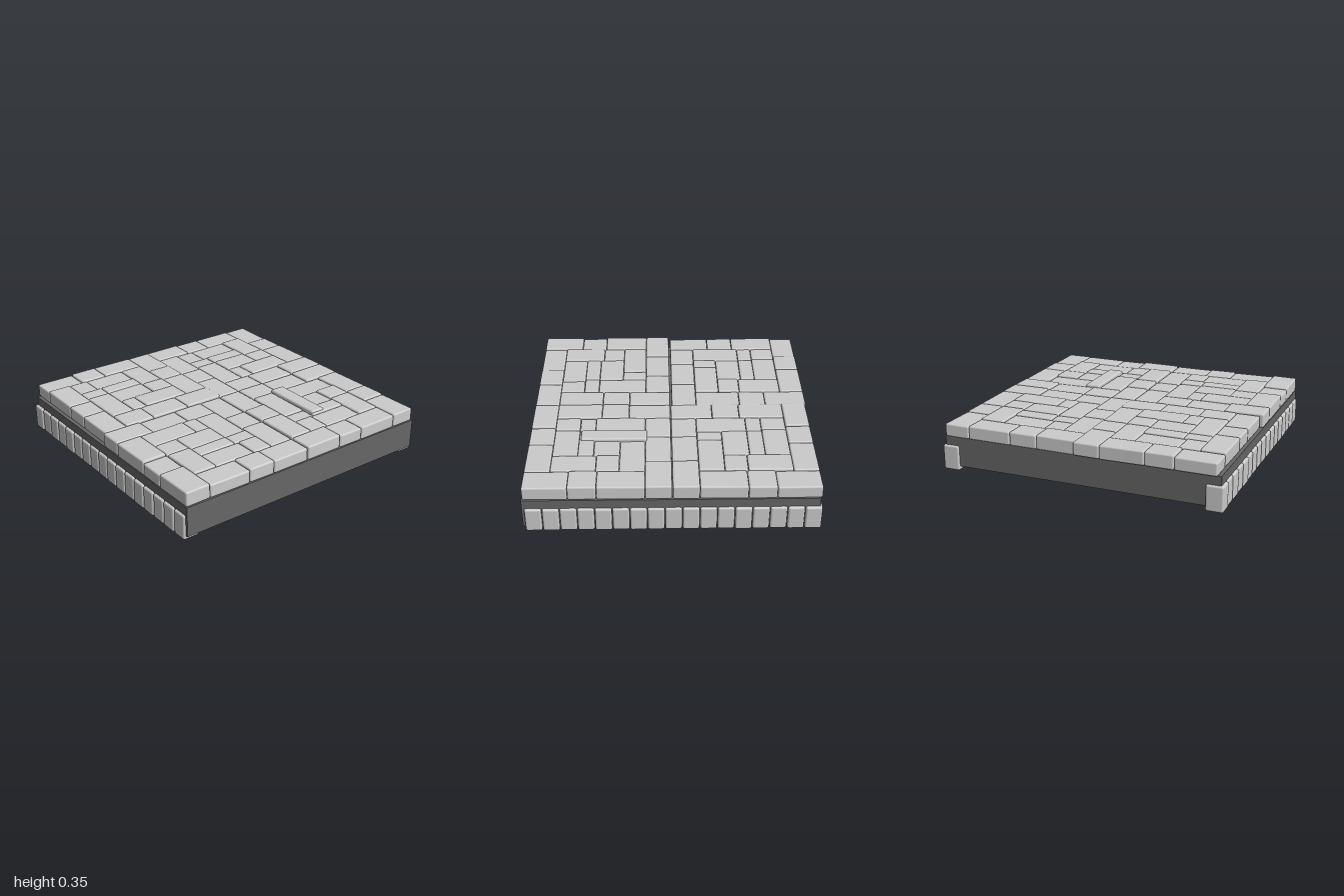
import * as THREE from 'three';
import { RoundedBoxGeometry } from 'three/addons/geometries/RoundedBoxGeometry.js';

// Paving pattern of one quarter: x0, z0, x1, z1 on a 182-unit square
const STONES = [
  // back row and corner
  [0, 0, 53, 32], [53, 0, 90, 32], [90, 0, 148, 32], [148, 0, 182, 55],
  // left and right columns
  [0, 32, 32, 91], [0, 91, 32, 127], [0, 127, 32, 182],
  [148, 55, 182, 90], [148, 90, 182, 149],
  // front row
  [32, 149, 74, 182], [74, 149, 128, 182], [128, 149, 182, 182],
  // middle
  [32, 32, 59, 64], [59, 32, 116, 64], [116, 32, 148, 88],
  [32, 64, 64, 84], [64, 64, 116, 84], [32, 84, 64, 149],
  [64, 84, 116, 117], [116, 88, 148, 117], [64, 117, 84, 149], [84, 117, 148, 149],
];

function seeded(seed) {
  return () => {
    seed = (seed * 16807) % 2147483647;
    return seed / 2147483647;
  };
}

export function createModel() {
  const model = new THREE.Group();
  model.name = 'pavedFloor';
  const stoneMat = new THREE.MeshStandardMaterial({ color: 0xcccccc });
  const baseMat = new THREE.MeshStandardMaterial({ color: 0x666666 });
  const rand = seeded(4711);

  // Rounded stone between two corners
  function stone(name, parent, x0, y0, z0, x1, y1, z1, radius) {
    const geo = new RoundedBoxGeometry(x1 - x0, y1 - y0, z1 - z0, 2, radius);
    const mesh = new THREE.Mesh(geo, stoneMat);
    mesh.position.set((x0 + x1) / 2, (y0 + y1) / 2, (z0 + z1) / 2);
    mesh.name = name;
    parent.add(mesh);
    return mesh;
  }

  // Dark slab
  const base = new THREE.Mesh(new THREE.BoxGeometry(1.96, 0.21, 1.945), baseMat);
  base.position.set(0, 0.135, 0.0075);
  base.name = 'base';
  model.add(base);

  // Four paved quarters, each a mirrored or turned copy of the pattern
  const unit = 0.974 / 182;
  const quarters = [
    { name: 'backRightPaving', x: -0.957, z: -0.984, flipX: false, flipZ: false },
    { name: 'backLeftPaving', x: 0.003, z: -0.975, flipX: false, flipZ: false },
    { name: 'frontRightPaving', x: -0.979, z: 0.002, flipX: true, flipZ: true },
    { name: 'frontLeftPaving', x: 0.001, z: 0.002, flipX: false, flipZ: true },
  ];
  for (const q of quarters) {
    const group = new THREE.Group();
    group.name = q.name;
    group.position.set(q.x, 0, q.z);
    for (const [a, b, c, d] of STONES) {
      const [x0, x1] = q.flipX ? [182 - c, 182 - a] : [a, c];
      const [z0, z1] = q.flipZ ? [182 - d, 182 - b] : [b, d];
      const top = 0.328 + rand() * 0.013;
      const s = stone('pavingStone', group, x0 * unit, 0.238, z0 * unit,
        x1 * unit - 0.002, top, z1 * unit - 0.002, 0.012);
      s.rotation.set((rand() - 0.5) * 0.02, 0, (rand() - 0.5) * 0.02);
    }
    model.add(group);
  }

  // One narrow stone standing proud of the paving
  stone('raisedStone', model, 0.345, 0.25, 0.165, 0.455, 0.353, 0.62, 0.014);

  // Rows of edging blocks along both sides
  const count = 17, pitch = 1.948 / count;
  for (const side of [1, -1]) {
    const row = new THREE.Group();
    row.name = side > 0 ? 'leftEdging' : 'rightEdging';
    for (let i = 0; i < count; i++) {
      const z = -0.98 + i * pitch;
      const inset = i % count ? rand() * 0.006 : 0;
      const [x0, x1] = side > 0 ? [0.88, 1 - inset] : [-1 + inset, -0.88];
      stone('edgingBlock', row, x0, 0, z, x1, 0.176, z + pitch - 0.005, 0.014);
    }
    model.add(row);
  }
  return model;
}
